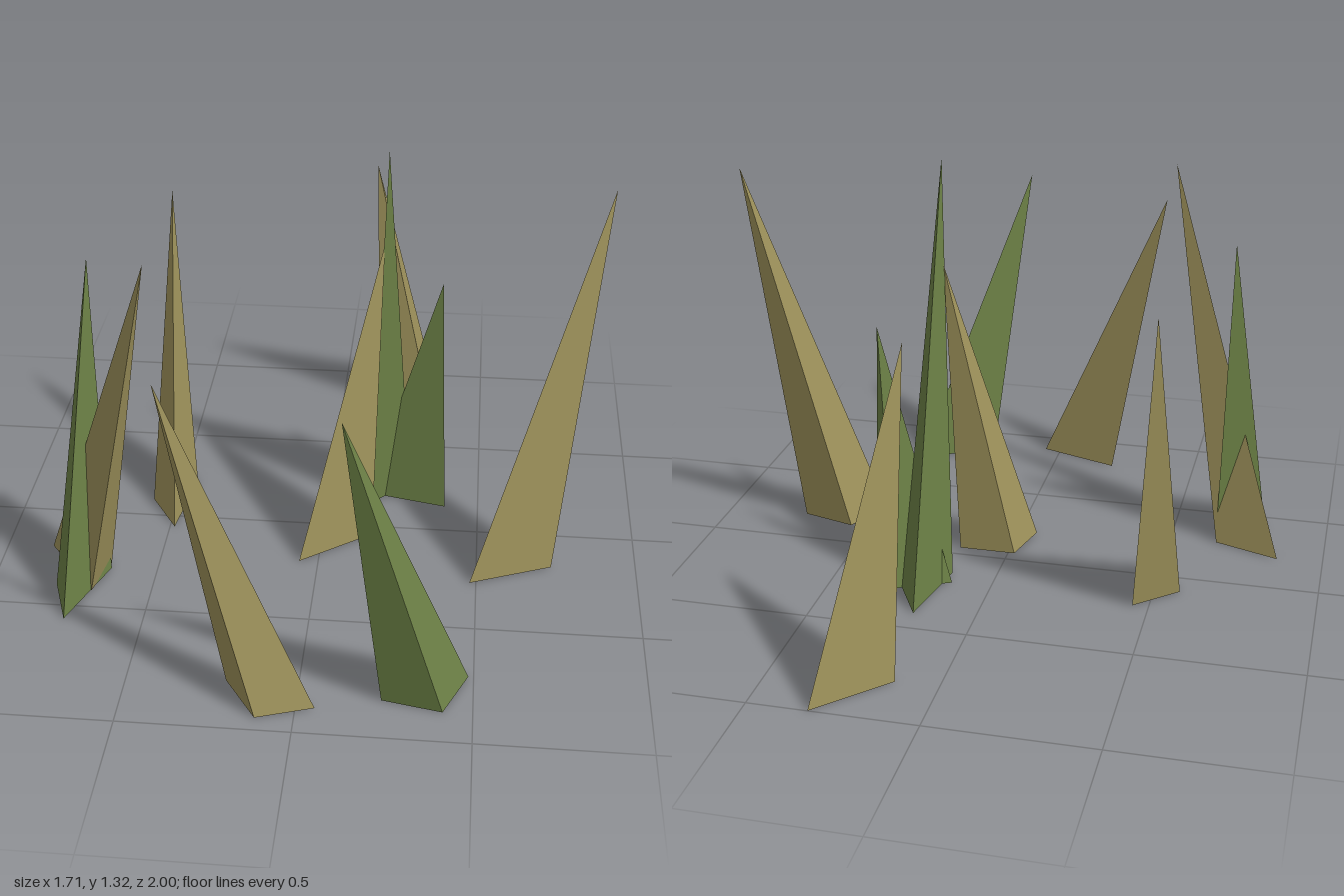
import * as THREE from 'three';

const olive = new THREE.MeshStandardMaterial({ color: 0xa1955d, side: THREE.DoubleSide, flatShading: true });
olive.name = 'dry grass';
const green = new THREE.MeshStandardMaterial({ color: 0x6e8347, side: THREE.DoubleSide, flatShading: true });
green.name = 'green grass';

// Each blade: material, tip [x, y, z], three ground corners [x, z]
const blades = [
  [olive, [0.12, 0.98, -0.69], [[0.32, -1.0], [0.13, -0.80], [0.31, -0.82]]],
  [olive, [-0.525, 1.0, -0.385], [[-0.45, -0.21], [-0.485, 0.06], [-0.58, -0.09]]],
  [green, [0.19, 1.32, -0.015], [[0.19, -0.41], [0.27, -0.26], [0.14, -0.13]]],
  [green, [0.36, 0.82, -0.16], [[0.285, -0.27], [0.39, -0.135], [0.125, -0.195]]],
  [olive, [0.18, 1.0, -0.05], [[-0.06, 0.21], [-0.02, 0.045], [0.16, 0.045]]],
  [olive, [0.85, 1.24, 0.025], [[0.56, 0.12], [0.48, 0.275], [0.735, 0.17]]],
  [olive, [-0.44, 1.2, 0.545], [[-0.855, 0.20], [-0.65, 0.275], [-0.685, 0.42]]],
  [green, [-0.675, 1.045, 0.21], [[-0.645, 0.30], [-0.74, 0.565], [-0.80, 0.395]]],
  [olive, [-0.375, 1.0, 0.83], [[-0.21, 0.80], [0.055, 0.895], [-0.11, 0.95]]],
  [green, [0.135, 1.015, 0.995], [[0.24, 0.845], [0.485, 0.72], [0.415, 0.88]]],
];

// Leaning three-sided spike, open underneath
function spike(tip, base) {
  const [a, b, c] = base;
  const turn = (b[0] - a[0]) * (c[1] - a[1]) - (b[1] - a[1]) * (c[0] - a[0]);
  const ring = turn > 0 ? [a, c, b] : [a, b, c]; // counter-clockwise from above
  const points = [];
  ring.forEach(([x, z], i) => {
    const [nx, nz] = ring[(i + 1) % 3];
    points.push(x, 0, z, nx, 0, nz, ...tip);
  });
  const geometry = new THREE.BufferGeometry();
  geometry.setAttribute('position', new THREE.Float32BufferAttribute(points, 3));
  geometry.computeVertexNormals();
  return geometry;
}

export function createModel() {
  const group = new THREE.Group();
  group.name = 'grassTuft';
  blades.forEach(([material, tip, base], i) => {
    const mesh = new THREE.Mesh(spike(tip, base), material);
    mesh.name = `grassBlade${i + 1}`;
    group.add(mesh);
  });
  return group;
}
